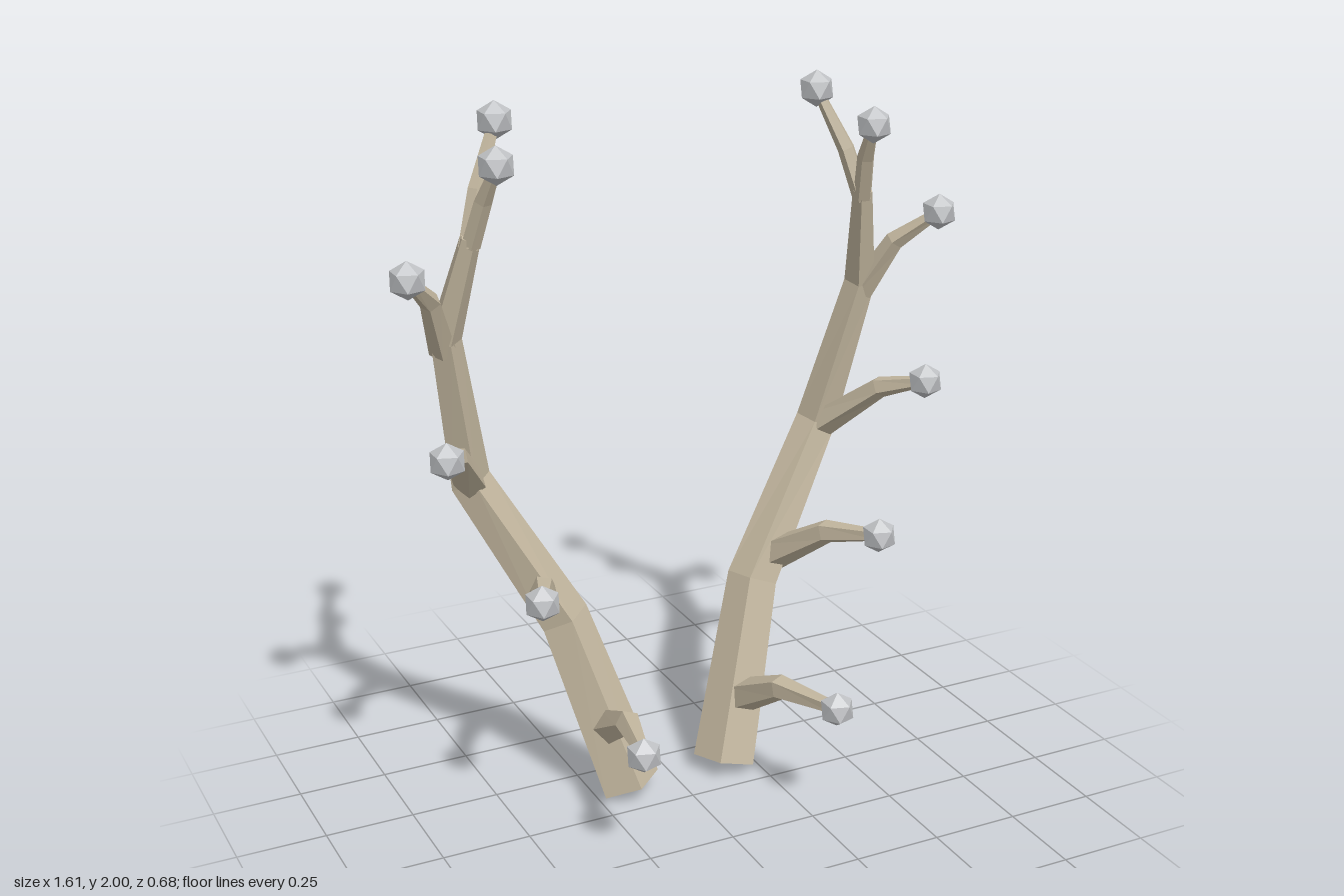
import * as THREE from 'three';

// Faceted tapering limb through points [x, y, z, radius], capped at both ends
function limb(points, ref, sides = 5) {
  const centres = points.map(p => new THREE.Vector3(p[0], p[1], p[2]));
  const pos = [], index = [];
  centres.forEach((c, i) => {
    const t = new THREE.Vector3();
    if (i > 0) t.add(c.clone().sub(centres[i - 1]).normalize());
    if (i < centres.length - 1) t.add(centres[i + 1].clone().sub(c).normalize());
    t.normalize();
    const u = ref.clone().addScaledVector(t, -ref.dot(t)).normalize();
    const v = t.clone().cross(u);
    for (let k = 0; k < sides; k++) {
      const a = k / sides * Math.PI * 2;
      const p = c.clone().addScaledVector(u, Math.cos(a) * points[i][3]).addScaledVector(v, Math.sin(a) * points[i][3]);
      pos.push(p.x, p.y, p.z);
    }
  });
  for (let i = 0; i < centres.length - 1; i++) {
    for (let k = 0; k < sides; k++) {
      const a = i * sides + k, b = i * sides + (k + 1) % sides;
      index.push(a, b, b + sides, a, b + sides, a + sides);
    }
  }
  const last = (centres.length - 1) * sides;
  for (let k = 1; k < sides - 1; k++) {
    index.push(0, k + 1, k, last, last + k, last + k + 1);
  }
  const g = new THREE.BufferGeometry();
  g.setAttribute('position', new THREE.Float32BufferAttribute(pos, 3));
  g.setIndex(index);
  const flat = g.toNonIndexed();
  flat.computeVertexNormals();
  return flat;
}

// Main beam, given for the +x antler
const BEAM = [
  [0.155, 0.035, -0.105, 0.092],
  [0.30, 0.54, -0.215, 0.075],
  [0.535, 0.97, -0.278, 0.06],
  [0.615, 1.40, -0.19, 0.045],
  [0.565, 1.68, -0.105, 0.028],
];

// Tines: root, knee, tip
const TINES = [
  [[0.21, 0.23, -0.10, 0.052], [0.235, 0.332, 0.08, 0.036], [0.29, 0.355, 0.30, 0.018]],
  [[0.36, 0.61, -0.20, 0.05], [0.43, 0.73, -0.025, 0.034], [0.50, 0.77, 0.145, 0.017]],
  [[0.54, 0.97, -0.25, 0.045], [0.63, 1.11, -0.09, 0.031], [0.70, 1.155, 0.035, 0.016]],
  [[0.62, 1.37, -0.19, 0.038], [0.675, 1.525, -0.11, 0.028], [0.76, 1.615, -0.025, 0.015]],
  [[0.565, 1.66, -0.105, 0.026], [0.545, 1.78, -0.06, 0.024], [0.53, 1.88, 0.0, 0.014]],
  [[0.57, 1.65, -0.11, 0.027], [0.53, 1.79, -0.14, 0.024], [0.46, 1.95, -0.185, 0.014]],
];

export function createModel() {
  const model = new THREE.Group();
  model.name = 'antlers';
  const horn = new THREE.MeshStandardMaterial({ color: 0xc4b8a0, flatShading: true });
  horn.name = 'horn';
  const silver = new THREE.MeshStandardMaterial({ color: 0xc2c4c7, flatShading: true });
  silver.name = 'silver';

  // Tip knob with one corner pointing up
  const knob = new THREE.IcosahedronGeometry(0.05, 0);
  knob.rotateZ(-Math.atan(2 / (1 + Math.sqrt(5))));

  for (const side of [1, -1]) {
    const antler = new THREE.Group();
    antler.name = side > 0 ? 'leftAntler' : 'rightAntler';
    const place = pts => pts.map(([x, y, z, r]) => [x * side, y, z, r]);
    const add = (geometry, material, name) => {
      const mesh = new THREE.Mesh(geometry, material);
      mesh.name = name;
      antler.add(mesh);
      return mesh;
    };

    const beamRef = new THREE.Vector3(-0.96 * side, 0, -0.28 * side);
    add(limb(place(BEAM), beamRef), horn, 'beam');

    TINES.forEach((tine, i) => {
      add(limb(place(tine), new THREE.Vector3(side, 0, 0)), horn, `tine${i + 1}`);
      const [x, y, z] = tine[2];
      add(knob, silver, `tipKnob${i + 1}`).position.set(x * side, y, z);
    });
    model.add(antler);
  }
  return model;
}
